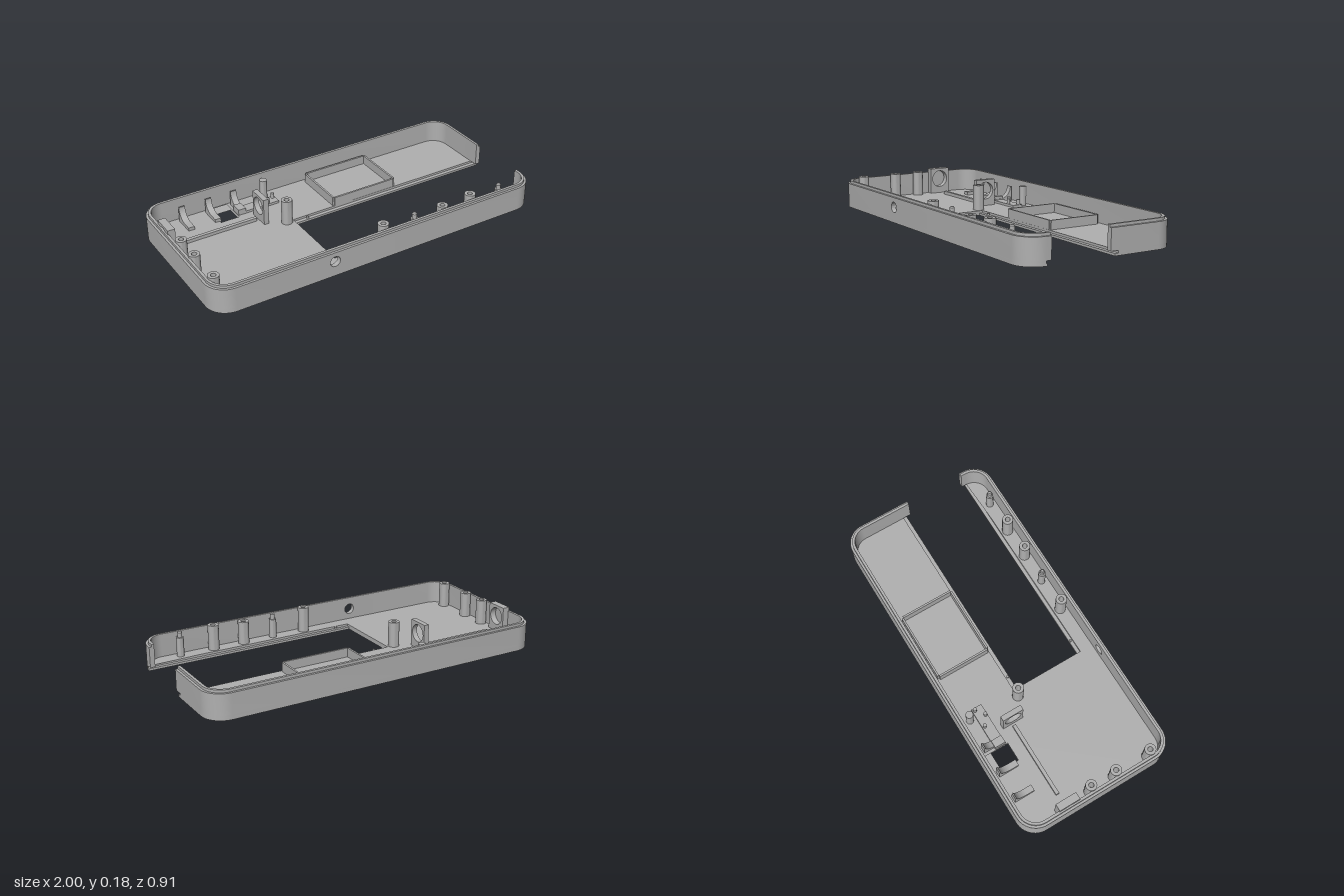
import * as THREE from 'three';
import { toCreasedNormals } from 'three/addons/utils/BufferGeometryUtils.js';

const HALF_Z = 0.455, RADIUS = 0.118;
const FLOOR = 0.026, WALL_TOP = 0.142, LIP_TOP = 0.157;

export function createModel() {
  const model = new THREE.Group();
  const grey = new THREE.MeshStandardMaterial({ color: 0xb0b0b0 });
  grey.name = 'grey plastic';

  function add(name, geometry, x = 0, y = 0, z = 0) {
    const mesh = new THREE.Mesh(toCreasedNormals(geometry, 0.6), grey);
    mesh.name = name;
    mesh.position.set(x, y, z);
    model.add(mesh);
    return mesh;
  }
  const box = (name, x0, x1, y0, y1, z0, z1) =>
    add(name, new THREE.BoxGeometry(x1 - x0, y1 - y0, z1 - z0), (x0 + x1) / 2, (y0 + y1) / 2, (z0 + z1) / 2);

  // plan outlines are given as [x, z]
  const toPoints = (list) => list.map(([x, z]) => new THREE.Vector2(x, -z));
  function slab(name, outline, holes, y0, y1) {
    const shape = new THREE.Shape(toPoints(outline));
    holes.forEach((h) => shape.holes.push(new THREE.Path(toPoints(h))));
    const geometry = new THREE.ExtrudeGeometry(shape, { depth: y1 - y0, bevelEnabled: false });
    add(name, geometry.rotateX(-Math.PI / 2), 0, y0, 0);
  }
  function arc(cx, cz, r, start, steps = 12) {
    return Array.from({ length: steps + 1 }, (_, i) => {
      const a = start + (i / steps) * Math.PI / 2;
      return [cx + r * Math.cos(a), cz + r * Math.sin(a)];
    });
  }
  // quarter n of the case outline: 0 front +x, 1 front -x, 2 back -x, 3 back +x
  function corner(n, inset) {
    const sx = n === 0 || n === 3 ? 1 : -1, sz = n < 2 ? 1 : -1;
    return arc(sx * (1 - RADIUS), sz * (HALF_Z - RADIUS), RADIUS - inset, n * Math.PI / 2);
  }
  const rect = (x0, x1, z0, z1) => [[x0, z0], [x1, z0], [x1, z1], [x0, z1]];
  const roundRect = (x0, x1, z0, z1, r) => [
    ...arc(x1 - r, z1 - r, r, 0, 6), ...arc(x0 + r, z1 - r, r, Math.PI / 2, 6),
    ...arc(x0 + r, z0 + r, r, Math.PI, 6), ...arc(x1 - r, z0 + r, r, Math.PI * 1.5, 6),
  ];

  // floor: layers give the recessed underside panel and the stepped bay edge
  const floorOutline = (zBack, zFront) => [
    [1, zFront], ...[0, 1, 2, 3].flatMap((n) => corner(n, 0)),
    [1, zBack], [-0.255, zBack], [-0.255, zFront],
  ];
  const window = rect(-0.6, -0.495, -0.375, -0.27);
  slab('floorUnderside', floorOutline(-0.064, 0.33), [roundRect(-0.92, -0.42, -0.4, 0.35, 0.05)], 0, 0.007);
  slab('floorCore', floorOutline(-0.064, 0.33), [window], 0.007, 0.013);
  slab('floorTop', floorOutline(-0.086, 0.35), [rect(-0.605, -0.495, -0.42, -0.27)], 0.013, FLOOR);

  // side walls: two runs that leave the +x opening and the front port free
  const PORT_X0 = -0.38, PORT_X1 = -0.25;
  function wallRuns(name, outer, inner, y0, y1) {
    const shortRun = (i) => [[1 - i, 0.308], ...corner(0, i), [PORT_X1, HALF_Z - i]];
    const longRun = (i) => [
      [PORT_X0, HALF_Z - i], ...[1, 2, 3].flatMap((n) => corner(n, i)), [1 - i, -0.04],
    ];
    [shortRun, longRun].forEach((run) =>
      slab(name, [...run(outer), ...run(inner).reverse()], [], y0, y1));
  }
  wallRuns('sideWall', 0, 0.028, FLOOR, WALL_TOP);
  wallRuns('rimLip', 0.013, 0.028, WALL_TOP, LIP_TOP);
  box('rimLip', PORT_X0, PORT_X1, WALL_TOP, LIP_TOP, HALF_Z - 0.028, HALF_Z - 0.013);

  // upright plate with a round hole, built facing z
  function holedPlate(width, y0, y1, holeY, holeR, depth) {
    const w = width / 2;
    const shape = new THREE.Shape(
      [[-w, y0], [w, y0], [w, y1], [-w, y1]].map(([a, b]) => new THREE.Vector2(a, b)));
    const hole = new THREE.Path();
    hole.absarc(0, holeY, holeR, 0, Math.PI * 2, true);
    shape.holes.push(hole);
    return new THREE.ExtrudeGeometry(shape, { depth, bevelEnabled: false, curveSegments: 16 });
  }
  add('frontPort', holedPlate(PORT_X1 - PORT_X0, FLOOR, WALL_TOP, 0.087, 0.03, 0.028),
    (PORT_X0 + PORT_X1) / 2, 0, HALF_Z - 0.028);

  // pair of holed brackets facing each other across the case
  [[-0.978, 0.042], [-0.415, 0.03]].forEach(([x, depth]) =>
    add('holedBracket', holedPlate(0.125, FLOOR, 0.18, 0.115, 0.05, depth).rotateY(Math.PI / 2), x, 0, -0.187));

  // screw posts with blind holes
  const lathe = (profile) => new THREE.LatheGeometry(profile.map(([r, y]) => new THREE.Vector2(r, y)), 24);
  function screwPost(x, z, top = 0.17) {
    const r = 0.031, bore = 0.014;
    add('screwPost', lathe([[r, 0.02], [r, top], [bore, top], [bore, 0.06], [0, 0.06]]), x, 0, z);
  }
  [-0.035, 0.12, 0.335].forEach((z) => screwPost(-0.945, z));
  screwPost(0.02, 0.39);
  screwPost(0.405, 0.39, 0.156);
  screwPost(0.59, 0.39);
  screwPost(-0.295, -0.083);

  // locating pins with a stepped tip
  [0.22, 0.79].forEach((x) =>
    add('locatingPin', lathe([[0.021, 0.02], [0.021, 0.135], [0.013, 0.135], [0.013, 0.163], [0.008, 0.17], [0, 0.17]]),
      x, 0, 0.39));
  add('plainPin', lathe([[0.021, 0.02], [0.021, 0.14], [0, 0.14]]), -0.28, 0, -0.38);

  // low rectangular frame made of four bars
  const FRAME_TOP = 0.078;
  [[0.005, 0.016], [0.41, 0.421]].forEach(([a, b]) => box('frameSide', a, b, 0.02, FRAME_TOP, -0.4, -0.095));
  [[-0.411, -0.4], [-0.098, -0.087]].forEach(([a, b]) => box('frameEnd', 0.016, 0.41, 0.02, FRAME_TOP, a, b));

  // long low rib
  box('floorRib', -0.873, -0.43, 0.02, 0.045, -0.2, -0.18);

  // curved cradles
  const cradle = new THREE.Shape();
  cradle.moveTo(0.285, 0.02);
  cradle.lineTo(0.405, 0.02);
  cradle.lineTo(0.405, 0.115);
  cradle.lineTo(0.398, 0.115);
  cradle.absarc(0.328, 0.115, 0.07, 0, -Math.PI / 2, true);
  cradle.lineTo(0.285, 0.045);
  [-0.793, -0.633, -0.478].forEach((x) =>
    add('cradle', new THREE.ExtrudeGeometry(cradle, { depth: 0.036, bevelEnabled: false }).rotateY(Math.PI / 2), x, 0, 0));

  // small stepped mount with pegs beside the window
  box('mountPlate', -0.445, -0.235, 0.02, 0.04, -0.345, -0.282);
  box('mountStep', -0.49, -0.445, 0.02, 0.06, -0.345, -0.282);
  [[-0.355, -0.33], [-0.3, -0.293], [-0.25, -0.33]].forEach(([x, z]) =>
    add('mountPeg', new THREE.CylinderGeometry(0.01, 0.01, 0.04, 12), x, 0.05, z));

  // tiny stops on the bay ledge
  [-0.073, 0.34].forEach((z) =>
    add('ledgeStop', new THREE.CylinderGeometry(0.007, 0.007, 0.014, 12), -0.17, 0.018, z));

  return model;
}
